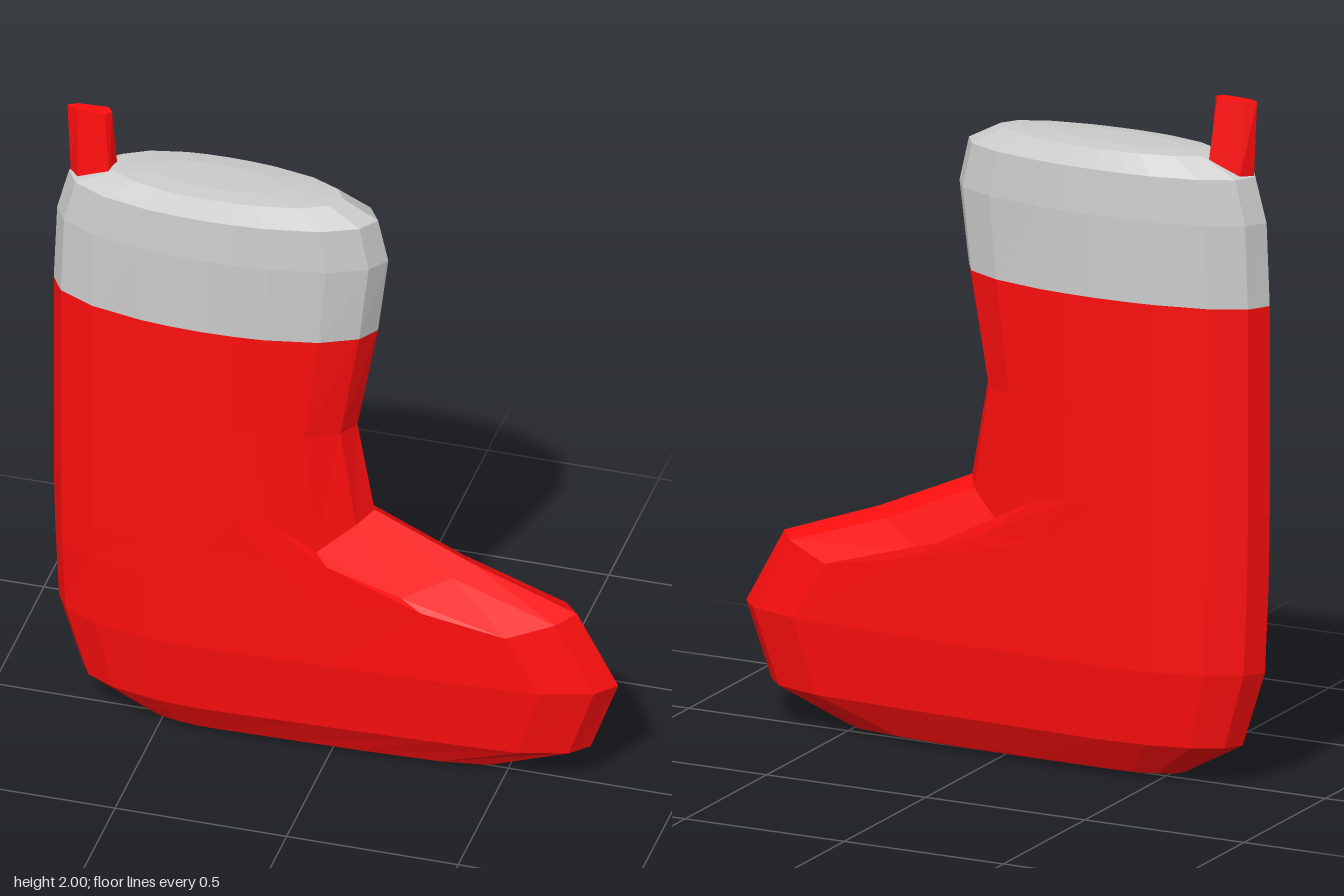
import * as THREE from 'three';

const CENTRE = -0.35; // x of the widest point of every section
const lerp = THREE.MathUtils.lerp;

// Outline of half a section: distance from the centre and width, as fractions
const LEG = [[0.2, 0.98], [0.38, 0.93], [0.7, 0.73], [0.92, 0.4]];
const FOOT = [[0.3, 0.91], [0.6, 0.81], [0.83, 0.7], [0.955, 0.4]];
const DROOP = [0, 0, 1, 0.2];

// One horizontal section: height, back x, front x, half width, droop of the instep
function section([y, x0, x1, d, droop = 0]) {
  const k = THREE.MathUtils.clamp((x1 - 0.15) / 0.55, 0, 1);
  const front = LEG.map(([u, w], i) => new THREE.Vector3(
    lerp(CENTRE, x1, lerp(u, FOOT[i][0], k)),
    y - droop * DROOP[i],
    -d * lerp(w, FOOT[i][1], k)));
  const back = LEG.map(([u, w]) => new THREE.Vector3(lerp(CENTRE, x0, u), y, -d * w));
  const side = [...front.reverse(), new THREE.Vector3(CENTRE, y, -d), ...back];
  const mirrored = side.map(p => new THREE.Vector3(p.x, p.y, -p.z)).reverse();
  return [new THREE.Vector3(x1, y, 0), ...side, new THREE.Vector3(x0, y, 0), ...mirrored];
}

// Skin between loops listed from bottom to top, closed at both ends
function loft(loops) {
  const n = loops[0].length;
  const pos = [], index = [];
  loops.forEach(l => l.forEach(p => pos.push(p.x, p.y, p.z)));
  for (let i = 0; i < loops.length - 1; i++) {
    for (let j = 0; j < n; j++) {
      const a = i * n + j, b = i * n + (j + 1) % n;
      index.push(a, b, b + n, a, b + n, a + n);
    }
  }
  for (const end of [0, loops.length - 1]) {
    const c = loops[end].reduce((s, p) => s.add(p), new THREE.Vector3()).divideScalar(n);
    const m = pos.length / 3;
    pos.push(c.x, c.y, c.z);
    for (let j = 0; j < n; j++) {
      const a = end * n + j, b = end * n + (j + 1) % n;
      if (end) index.push(m, a, b);
      else index.push(m, b, a);
    }
  }
  const g = new THREE.BufferGeometry();
  g.setAttribute('position', new THREE.Float32BufferAttribute(pos, 3));
  g.setIndex(index);
  g.computeVertexNormals();
  return g;
}

export function createModel() {
  const group = new THREE.Group();
  const red = new THREE.MeshStandardMaterial({ color: 0xfe0e0e, flatShading: true });
  const grey = new THREE.MeshStandardMaterial({ color: 0xcccccc, flatShading: true });
  const add = (name, loops, material) => {
    const mesh = new THREE.Mesh(loft(loops), material);
    mesh.name = name;
    group.add(mesh);
  };

  // Foot and leg
  add('stocking', [
    [0, -0.43, 0.2, 0.01],
    [0.02, -0.56, 0.5, 0.07],
    [0.12, -0.74, 0.74, 0.128],
    [0.34, -0.81, 0.82, 0.15],
    [0.56, -0.82, 0.7, 0.15, 0.05],
    [0.67, -0.823, 0.4, 0.15, 0.08],
    [0.8, -0.825, 0.11, 0.15, 0.1],
    [1.08, -0.825, 0.06, 0.15],
    [1.41, -0.825, 0.12, 0.15],
  ].map(section), red);

  // Rounded cuff
  add('cuff', [
    [1.41, -0.825, 0.12, 0.15],
    [1.65, -0.815, 0.15, 0.149],
    [1.78, -0.78, 0.12, 0.14],
    [1.833, -0.66, 0.02, 0.11],
    [1.839, -0.54, -0.16, 0.06],
  ].map(section), grey);

  // Hanging loop: a tapered tab at the back of the cuff
  const tab = (y, back, front, w) => [
    [front, 0], [front - 0.015, -w], [back + 0.03, -w * 0.75],
    [back, 0], [back + 0.03, w * 0.75], [front - 0.015, w],
  ].map(([x, z]) => new THREE.Vector3(x, y, z));
  add('hangingLoop', [
    tab(1.77, -0.775, -0.635, 0.047),
    tab(2, -0.785, -0.655, 0.02),
  ], red);

  return group;
}
